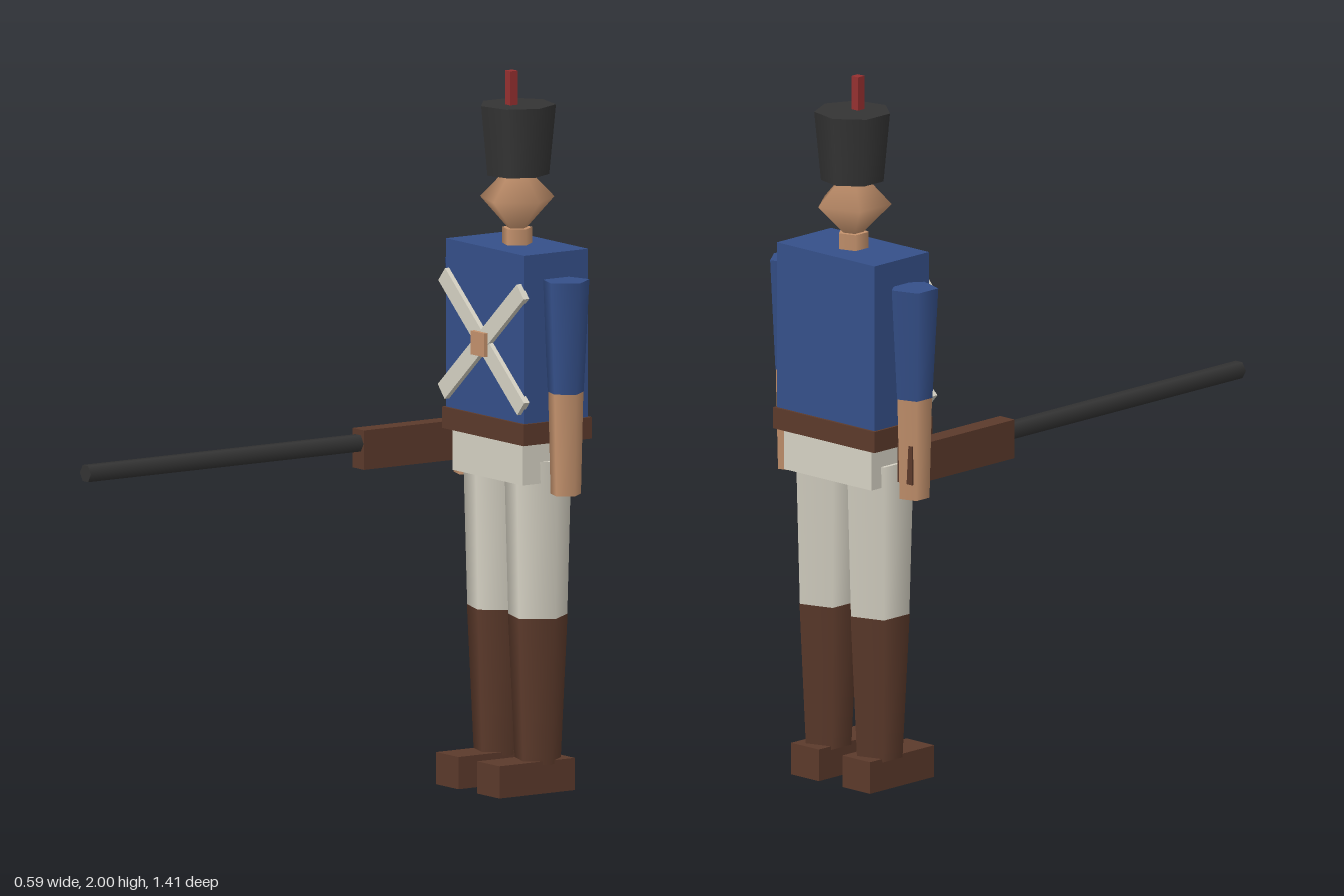
import * as THREE from 'three';

const CX = -0.01, CZ = -0.587; // axis of the body

export function createModel() {
  const root = new THREE.Group();
  root.name = 'toySoldier';

  const paint = (name, color) => {
    const m = new THREE.MeshStandardMaterial({ color });
    m.name = name;
    return m;
  };
  const blue = paint('jacketBlue', 0x35508a);
  const white = paint('clothWhite', 0xd6d2c4);
  const brown = paint('leatherBrown', 0x5c3a2b);
  const skin = paint('skinTan', 0xc4926d);
  const black = paint('blackMetal', 0x343434);
  const red = paint('plumeRed', 0x963030);

  const add = (name, geometry, material, x, y, z) => {
    const mesh = new THREE.Mesh(geometry, material);
    mesh.name = name;
    mesh.position.set(x, y, z);
    root.add(mesh);
    return mesh;
  };
  // Box given by its size, bottom height and centre
  const box = (name, material, w, h, d, x, y0, z) =>
    add(name, new THREE.BoxGeometry(w, h, d), material, x, y0 + h / 2, z);
  // Few-sided tapered column with one corner pointing to +x
  const column = (name, material, rTop, rBottom, y0, y1, x, sides = 5) =>
    add(name, new THREE.CylinderGeometry(rTop, rBottom, y1 - y0, sides, 1, false, Math.PI / 2),
      material, x, (y0 + y1) / 2, CZ);

  // Legs, boots and arms
  for (const [side, s] of [['right', -1], ['left', 1]]) {
    const legX = CX + s * 0.098;
    box(side + 'Foot', brown, 0.106, 0.09, 0.255, legX, 0, -0.548);
    column(side + 'Boot', brown, 0.087, 0.067, 0.08, 0.49, legX);
    column(side + 'Leg', white, 0.098, 0.086, 0.49, 0.93, legX);

    const armX = CX + s * 0.233;
    column(side + 'Sleeve', blue, 0.0685, 0.052, 1.13, 1.443, armX);
    column(side + 'Forearm', skin, 0.051, 0.044, 0.845, 1.13, armX);
  }

  // Trunk
  box('hips', white, 0.334, 0.13, 0.2, CX, 0.87, CZ);
  box('waistBelt', brown, 0.388, 0.06, 0.232, CX, 0.985, CZ);
  box('jacket', blue, 0.374, 0.472, 0.216, CX, 1.043, CZ);

  // Crossed chest straps with a buckle
  for (const s of [-1, 1]) {
    const strap = box('chestStrap', white, 0.5, 0.05, 0.02, CX, 1.227, -0.4745 + s * 0.0008);
    strap.rotation.z = s * 0.715;
  }
  box('buckle', skin, 0.064, 0.066, 0.018, CX, 1.214, -0.461);

  // Neck and head
  column('neck', skin, 0.044, 0.044, 1.5, 1.56, CX);
  const headShape = new THREE.SphereGeometry(0.108, 5, 2);
  headShape.rotateY(Math.PI);
  add('head', headShape, skin, CX, 1.642, CZ).scale.y = 1.04;

  // Tall hat and plume
  column('hat', black, 0.1077, 0.089, 1.71, 1.905, CX, 7);
  box('plume', red, 0.025, 0.11, 0.025, CX, 1.89, -0.567);

  // Long gun held in the right hand
  const gunX = CX - 0.233;
  box('gunStock', brown, 0.056, 0.11, 0.408, gunX, 0.89, -0.419);
  const barrelShape = new THREE.CylinderGeometry(0.026, 0.026, 0.935, 6, 1, false, Math.PI / 2);
  barrelShape.rotateX(Math.PI / 2);
  add('gunBarrel', barrelShape, black, gunX, 0.962, 0.2375);

  return root;
}
